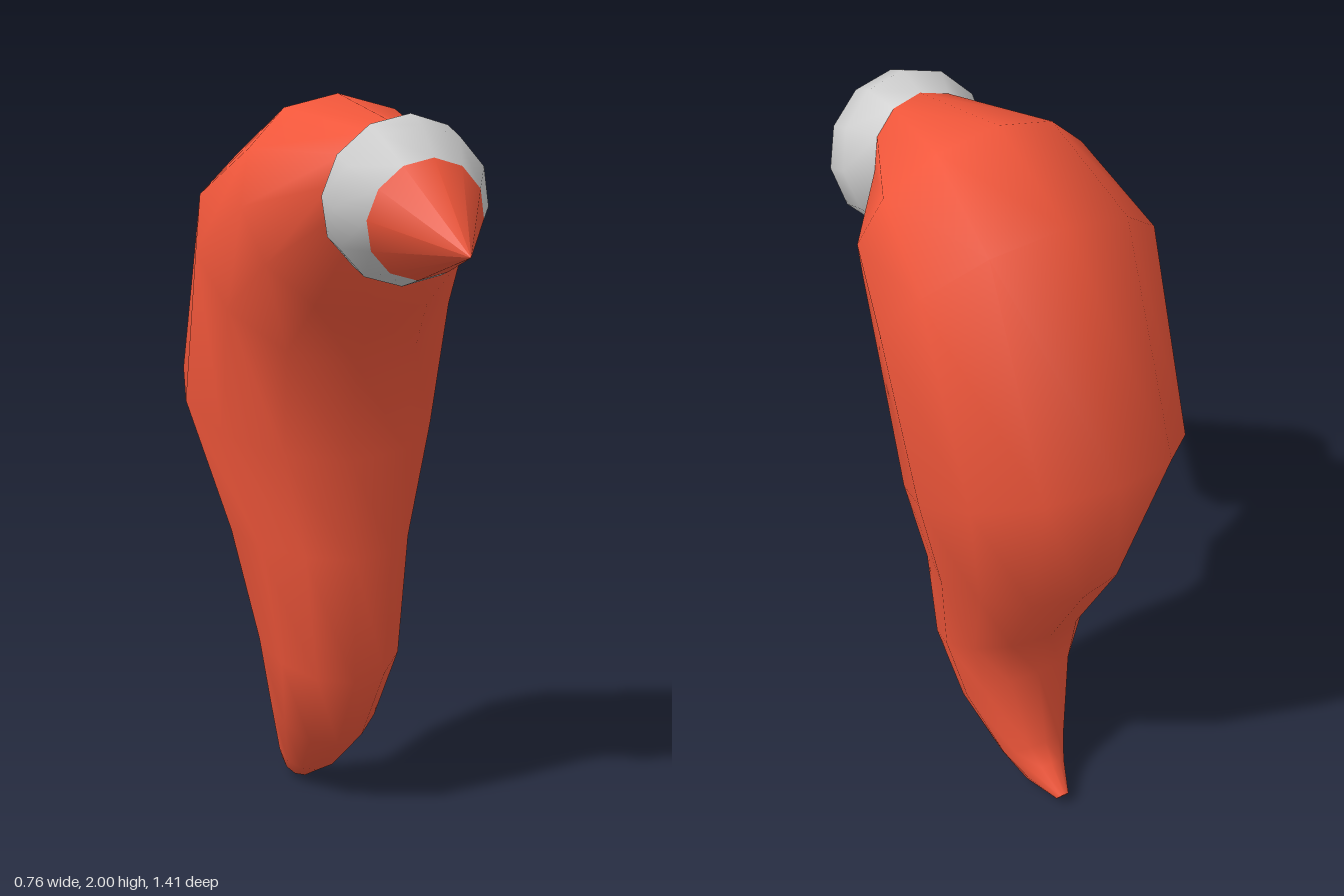
import * as THREE from 'three';

const SIDES = 12;

// Lofts elliptical rings along the curve of the body. Each ring is
// [inner z, inner y, outer z, outer y, half width], listed front to tail.
function loft(name, rings, color) {
  const pos = [], index = [];
  rings.forEach(([iz, iy, oz, oy, w], s) => {
    for (let i = 0; i < SIDES; i++) {
      const a = (i / SIDES) * Math.PI * 2;
      const t = (1 + Math.cos(a)) / 2;
      pos.push(w * Math.sin(a), iy + (oy - iy) * t, iz + (oz - iz) * t);
      if (s === rings.length - 1) continue;
      const p = s * SIDES + i, q = s * SIDES + (i + 1) % SIDES;
      index.push(p, q, p + SIDES, q, q + SIDES, p + SIDES);
    }
  });
  const geo = new THREE.BufferGeometry();
  geo.setAttribute('position', new THREE.Float32BufferAttribute(pos, 3));
  geo.setIndex(index);
  geo.computeVertexNormals();
  const mesh = new THREE.Mesh(geo, new THREE.MeshStandardMaterial({ color }));
  mesh.name = name;
  return mesh;
}

export function createModel() {
  const group = new THREE.Group();
  group.name = 'curledBody';
  const red = 0xf0563a, grey = 0xcccccc;

  // Pointed snout, narrowing to a single tip
  group.add(loft('snout', [
    [0.71, 1.59, 0.71, 1.59, 0],
    [0.41, 1.52, 0.50, 1.825, 0.16],
  ], red));

  // Bulging collar between snout and body
  group.add(loft('collar', [
    [0.41, 1.52, 0.50, 1.825, 0.16],
    [0.31, 1.50, 0.43, 1.905, 0.215],
    [0.23, 1.525, 0.36, 1.935, 0.215],
    [0.175, 1.60, 0.27, 1.91, 0.16],
  ], grey));

  // Hooked body, tapering to a tail that kicks backwards
  group.add(loft('body', [
    [0.175, 1.60, 0.27, 1.91, 0.16],
    [0.13, 1.40, -0.12, 2.0, 0.325],
    [0.01, 1.27, -0.435, 1.88, 0.38],
    [-0.02, 1.0, -0.705, 1.30, 0.365],
    [0, 0.73, -0.57, 0.84, 0.26],
    [0, 0.38, -0.42, 0.58, 0.205],
    [-0.125, 0.17, -0.365, 0.40, 0.16],
    [-0.28, 0.05, -0.415, 0.165, 0.095],
    [-0.385, 0.003, -0.45, 0.11, 0.06],
    [-0.505, 0.022, -0.52, 0.045, 0.02],
    [-0.513, 0.034, -0.513, 0.034, 0],
  ], red));

  return group;
}
